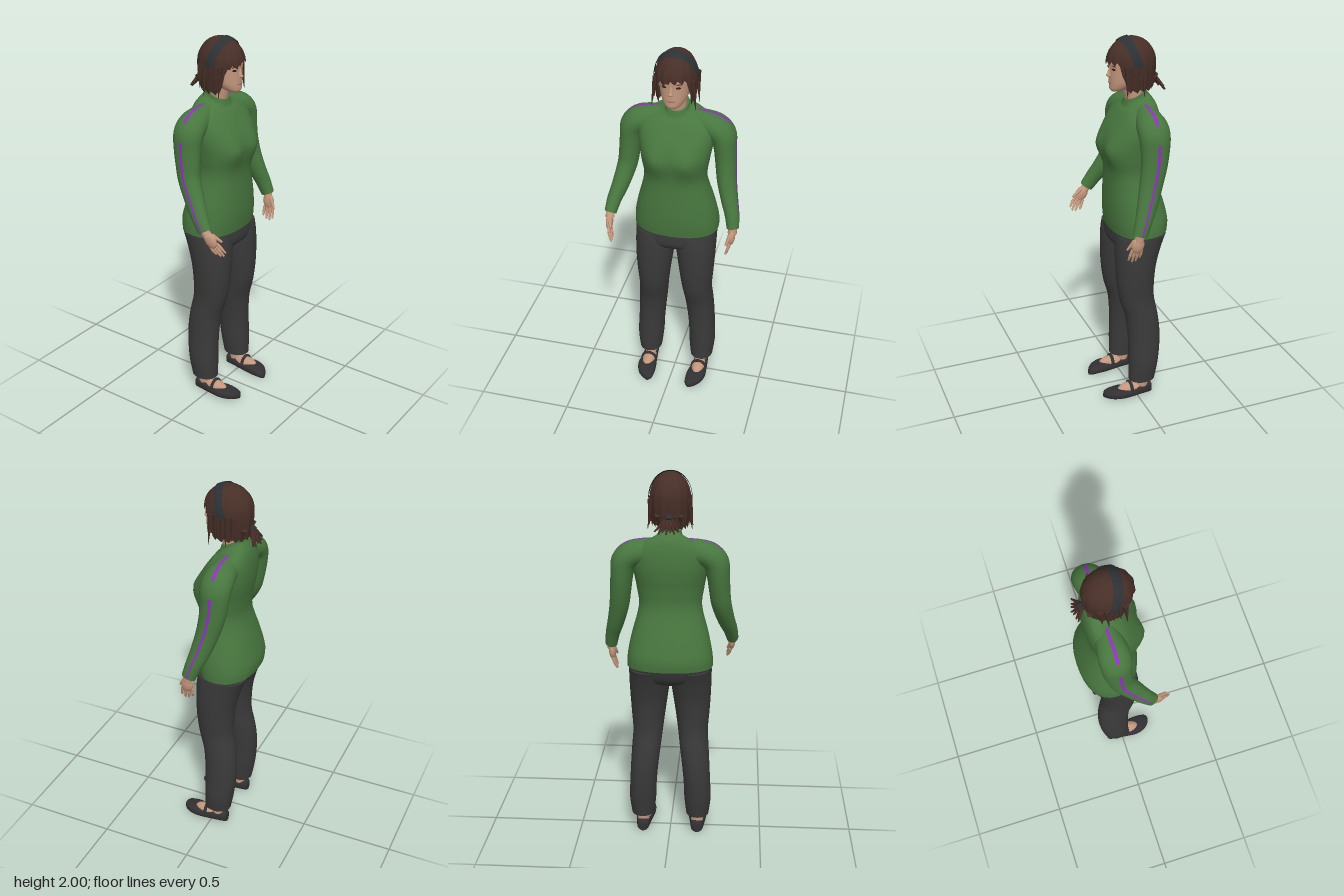
import * as THREE from 'three';

const mat = (name, color, double) => {
  const m = new THREE.MeshStandardMaterial({ color });
  m.name = name;
  if (double) m.side = THREE.DoubleSide;
  return m;
};

// Catmull-Rom interpolation of rows of numbers
function smooth(rows, steps = 4) {
  const out = [], last = rows.length - 1;
  for (let i = 0; i < last; i++) {
    const [a, b, c, d] = [rows[Math.max(i - 1, 0)], rows[i], rows[i + 1], rows[Math.min(i + 2, last)]];
    for (let s = 0; s < steps; s++) {
      const t = s / steps;
      out.push(b.map((v, k) => v + 0.5 * t * (c[k] - a[k] + t * (2 * a[k] - 5 * v + 4 * c[k] - d[k] + t * (3 * (v - c[k]) + d[k] - a[k])))));
    }
  }
  out.push(rows[last]);
  return out;
}

// Skin closed rings of points; quads chosen by isStripe go to material group 1
function loft(rings, { flip = false, caps = true, isStripe = null } = {}) {
  const n = rings[0].length, pos = rings.flat(2), main = [], stripe = [];
  const tri = (list, a, b, c) => (flip ? list.push(a, c, b) : list.push(a, b, c));
  for (let i = 0; i < rings.length - 1; i++) for (let j = 0; j < n; j++) {
    const k = (j + 1) % n, list = isStripe && isStripe(i, j) ? stripe : main;
    tri(list, i * n + j, (i + 1) * n + j, (i + 1) * n + k);
    tri(list, i * n + j, (i + 1) * n + k, i * n + k);
  }
  if (caps) [rings[0], rings[rings.length - 1]].forEach((r, e) => {
    const base = pos.length / 3, mid = [0, 1, 2].map(k => r.reduce((s, p) => s + p[k], 0) / n);
    pos.push(...r.flat(), ...mid);
    for (let j = 0; j < n; j++) {
      const k = (j + 1) % n;
      tri(main, base + n, base + (e ? k : j), base + (e ? j : k));
    }
  });
  const g = new THREE.BufferGeometry();
  g.setAttribute('position', new THREE.Float32BufferAttribute(pos, 3));
  g.setIndex([...main, ...stripe]);
  if (isStripe) { g.addGroup(0, main.length, 0); g.addGroup(main.length, stripe.length, 1); }
  g.computeVertexNormals();
  return g;
}

// Horizontal body section: y, centre x, half width, front z, back z, tilt
function section([y, cx, hw, zf, zb, tilt = 0], p = 2.2, n = 32) {
  return Array.from({ length: n }, (_, j) => {
    const a = j / n * Math.PI * 2, c = Math.cos(a), s = Math.sin(a);
    const x = cx + hw * Math.sign(c) * Math.abs(c) ** (2 / p);
    const z = (zf + zb) / 2 + (zf - zb) / 2 * Math.sign(s) * Math.abs(s) ** (2 / p);
    return [x, y - (z + 0.05) * tilt, z];
  });
}
const body = (rows, p) => loft(smooth(rows).map(r => section(r, p)));

export function createModel() {
  const model = new THREE.Group();
  const green = mat('sweater green', 0x48773f), purple = mat('stripe purple', 0x9030bd);
  const charcoal = mat('trouser charcoal', 0x3a3a3b), skin = mat('skin', 0xc4977d);
  const brown = mat('hair brown', 0x472f27, true), band = mat('headband grey', 0x2e3134, true);
  const black = mat('shoe black', 0x313133), dark = mat('eye dark', 0x2c1f1b), lip = mat('lips', 0xa8736a);
  const add = (name, geo, m, parent = model) => {
    const mesh = new THREE.Mesh(geo, m);
    mesh.name = name;
    parent.add(mesh);
    return mesh;
  };
  const ball = (name, m, p, s, parent) => {
    const b = add(name, new THREE.SphereGeometry(1, 20, 14), m, parent);
    b.position.set(...p);
    b.scale.set(...s);
    return b;
  };
  // Tapered piece between two points
  const spike = (name, m, a, b, r0, r1, parent, sides = 5) => {
    const A = new THREE.Vector3(...a), B = new THREE.Vector3(...b), d = B.clone().sub(A);
    const s = add(name, new THREE.CylinderGeometry(r1, r0, d.length(), sides), m, parent);
    s.position.copy(A).add(B).multiplyScalar(0.5);
    s.quaternion.setFromUnitVectors(new THREE.Vector3(0, 1, 0), d.normalize());
    return s;
  };

  // Sweater body, with a soft bust
  const torso = smooth([
    [0.985, 0, 0.226, 0.1, -0.2, 0.03], [1.05, 0, 0.223, 0.108, -0.203, 0], [1.15, 0, 0.203, 0.11, -0.178, 0],
    [1.3, 0, 0.165, 0.106, -0.135, 0], [1.4, 0, 0.175, 0.118, -0.14, 0], [1.46, 0, 0.185, 0.118, -0.15, 0],
    [1.53, 0, 0.195, 0.098, -0.158, 0], [1.6, 0, 0.19, 0.062, -0.155, 0.08], [1.645, 0, 0.145, 0.035, -0.143, 0.2],
    [1.668, 0, 0.09, 0.018, -0.125, 0.35], [1.685, 0, 0.064, 0.012, -0.112, 0.42], [1.705, 0, 0.058, 0.006, -0.104, 0.45],
  ]).map(r => section(r, 2.3).map(([x, y, z]) => {
    const d = ((Math.abs(x) - 0.085) / 0.06) ** 2 + ((y - 1.435) / 0.075) ** 2;
    return [x, y, z + (z > 0 ? 0.026 * Math.exp(-d) : 0)];
  }));
  add('sweaterBody', loft(torso), green);

  // Sleeves: x, y, z, radius across, radius in depth
  const shoulder = [
    [0.09, 1.603, -0.065, 0.068, 0.06], [0.15, 1.598, -0.063, 0.067, 0.072], [0.2, 1.583, -0.061, 0.068, 0.08],
    [0.235, 1.545, -0.06, 0.067, 0.08], [0.247, 1.48, -0.058, 0.059, 0.075], [0.255, 1.4, -0.05, 0.055, 0.068],
  ];
  const forearm = {
    1: [[0.267, 1.3, -0.028, 0.051, 0.06], [0.29, 1.2, 0.002, 0.044, 0.052], [0.31, 1.13, 0.028, 0.038, 0.044], [0.322, 1.06, 0.052, 0.032, 0.038]],
    [-1]: [[0.265, 1.32, -0.035, 0.052, 0.06], [0.29, 1.22, 0.018, 0.045, 0.052], [0.313, 1.15, 0.065, 0.038, 0.044], [0.325, 1.09, 0.105, 0.032, 0.038]],
  };
  for (const side of [1, -1]) {
    const name = side > 0 ? 'left' : 'right', n = 28;
    const rows = smooth([...shoulder, ...forearm[side]]);
    const pt = i => new THREE.Vector3(...rows[Math.min(Math.max(i, 0), rows.length - 1)].slice(0, 3));
    const rings = rows.map((r, i) => {
      const T = pt(i + 1).sub(pt(i - 1)).normalize();
      const B = new THREE.Vector3(0, 0, 1).addScaledVector(T, -T.z).normalize();
      const N = B.clone().cross(T);
      return Array.from({ length: n }, (_, j) => {
        const a = (j - 0.5) / n * Math.PI * 2;
        const p = pt(i).addScaledVector(N, r[3] * Math.cos(a)).addScaledVector(B, r[4] * Math.sin(a));
        return [side * p.x, p.y, p.z];
      });
    });
    const isStripe = (i, j) => j === 0 && (i < 10 || i > 13);
    add(name + 'Sleeve', loft(rings, { flip: side > 0, isStripe }), [green, purple]);

    // Hand: palm, four fingers and a thumb
    const hand = new THREE.Group();
    hand.name = name + 'Hand';
    const end = rows[rows.length - 1];
    hand.position.set(side * end[0], end[1], end[2]);
    hand.rotation.set(side > 0 ? -0.12 : -0.58, 0, side * -0.06);
    spike('wrist', skin, [0, 0.03, 0], [0, -0.03, 0.002], 0.022, 0.024, hand, 14);
    ball('palm', skin, [0, -0.05, 0.004], [0.018, 0.046, 0.034], hand);
    for (let f = 0; f < 4; f++) {
      const z = -0.02 + f * 0.016, len = [0.045, 0.06, 0.065, 0.055][f];
      const knuckle = [-side * 0.004, -0.078, z], mid = [-side * 0.009, -0.08 - len * 0.55, z * 1.2];
      spike('finger', skin, knuckle, mid, 0.0085, 0.008, hand, 8);
      spike('fingertip', skin, mid, [-side * 0.019, -0.08 - len * 1.15, z * 1.25], 0.008, 0.005, hand, 8);
    }
    spike('thumb', skin, [-side * 0.006, -0.03, 0.024], [-side * 0.02, -0.085, 0.05], 0.012, 0.006, hand, 8);
    model.add(hand);

    // Trouser leg
    add(name + 'TrouserLeg', body([
      [0.1, 0.151, 0.062, 0.04, -0.105], [0.2, 0.151, 0.073, 0.04, -0.123], [0.3, 0.147, 0.073, 0.04, -0.134],
      [0.4, 0.14, 0.075, 0.043, -0.136], [0.5, 0.131, 0.078, 0.055, -0.126], [0.6, 0.122, 0.081, 0.083, -0.108],
      [0.7, 0.119, 0.091, 0.096, -0.108], [0.8, 0.115, 0.101, 0.1, -0.12], [0.9, 0.11, 0.109, 0.099, -0.148], [0.97, 0.11, 0.108, 0.09, -0.175],
    ].map(r => [r[0], side * r[1], ...r.slice(2)]), 2.1), charcoal);

    // Foot and strap shoe: z, centre x, half width, height
    spike('ankle', skin, [side * 0.15, 0.03, -0.035], [side * 0.15, 0.16, -0.035], 0.033, 0.036, model, 16);
    ball('foot', skin, [side * 0.147, 0.04, 0.03], [0.037, 0.036, 0.08]);
    const shoe = smooth([
      [-0.09, 0.15, 0.014, 0.045], [-0.08, 0.15, 0.031, 0.062], [-0.03, 0.15, 0.039, 0.062], [0.03, 0.149, 0.046, 0.05],
      [0.09, 0.146, 0.053, 0.053], [0.14, 0.138, 0.045, 0.046], [0.17, 0.127, 0.028, 0.036], [0.182, 0.122, 0.008, 0.022],
    ]).map(([z, cx, hw, h]) => Array.from({ length: 24 }, (_, j) => {
      const a = j / 24 * Math.PI * 2, s = Math.sin(a);
      return [side * cx + hw * Math.cos(a), h / 2 + h / 2 * Math.sign(s) * Math.abs(s) ** 0.6, z];
    }));
    add(name + 'Shoe', loft(shoe, { flip: true }), black);
    const strap = add(name + 'ShoeStrap', new THREE.TorusGeometry(0.04, 0.006, 8, 20, Math.PI), black);
    strap.position.set(side * 0.148, 0.04, 0.035);
    strap.scale.z = 1.6;
  }

  // Trouser seat
  add('trouserSeat', body([
    [0.885, 0, 0.17, 0.075, -0.11], [0.91, 0, 0.212, 0.095, -0.148], [0.95, 0, 0.22, 0.1, -0.172], [1.02, 0, 0.215, 0.095, -0.192],
  ], 2.3), charcoal);

  // Neck, head and face
  add('neck', body([[1.62, 0, 0.05, -0.01, -0.1], [1.7, 0, 0.048, 0.006, -0.09], [1.78, 0, 0.05, 0.02, -0.09]], 2), skin);
  add('head', body([
    [1.73, 0, 0.022, 0.078, 0.02], [1.742, 0, 0.042, 0.087, -0.01], [1.77, 0, 0.063, 0.088, -0.065], [1.8, 0, 0.073, 0.088, -0.1],
    [1.84, 0, 0.079, 0.088, -0.12], [1.88, 0, 0.08, 0.09, -0.125], [1.93, 0, 0.074, 0.075, -0.12], [1.975, 0, 0.045, 0.04, -0.085],
  ], 2.1), skin);
  spike('nose', skin, [0, 1.812, 0.089], [0, 1.855, 0.084], 0.013, 0.006, model, 10);
  ball('noseTip', skin, [0, 1.815, 0.094], [0.011, 0.009, 0.011]);
  ball('lips', lip, [0, 1.775, 0.087], [0.02, 0.006, 0.005]);
  for (const s of [1, -1]) {
    ball('eye', dark, [s * 0.036, 1.848, 0.079], [0.012, 0.006, 0.005]).rotation.y = s * 0.35;
    ball('eyebrow', brown, [s * 0.037, 1.866, 0.079], [0.017, 0.003, 0.004]).rotation.y = s * 0.35;
    ball('ear', skin, [s * 0.082, 1.83, -0.02], [0.012, 0.03, 0.018]);
  }

  // Hair cap: a shell whose lower edge rises over the face
  const hairRings = [], cols = 56, layers = 14;
  for (let i = 0; i <= layers; i++) hairRings.push(Array.from({ length: cols }, (_, j) => {
    const a = j / cols * Math.PI * 2, off = Math.min(a, Math.PI * 2 - a);
    const right = a > Math.PI ? 0.012 : 0;
    const hem = 1.888 - right - 0.14 * THREE.MathUtils.smoothstep(off, 0.72, 1.2) - (j % 3) * 0.009;
    const v = i / layers, y = 2 - (2 - hem) * v ** 1.7;
    const k = y > 1.87 ? Math.sqrt(Math.max(0, 1 - ((y - 1.87) / 0.13) ** 2)) : 1 - 7 * (1.87 - y) ** 2;
    const r = k * (1 + 0.022 * Math.sin(a * 14) * v);
    return [0.104 * r * Math.sin(a), y, -0.027 + 0.127 * r * Math.cos(a)];
  }));
  const cap = loft(hairRings, { caps: false }).toNonIndexed();
  cap.computeVertexNormals();
  add('hairCap', cap, brown);

  // Loose locks beside the face and at the nape
  for (const s of [1, -1]) for (let i = 0; i < 5; i++) {
    const z = 0.035 - i * 0.03;
    spike('sideLock', brown, [s * 0.094, 1.87, z - 0.005], [s * (0.112 - 0.007 * (i % 3)), 1.715 + 0.018 * ((i * 2) % 3), z], 0.015, 0.001);
  }
  for (let i = -2; i <= 2; i++) spike('napeLock', brown, [i * 0.028, 1.8, -0.13], [i * 0.024, 1.71 + 0.008 * Math.abs(i), -0.105], 0.018, 0.002);
  // Ponytail with its tie
  spike('hairTie', band, [0, 1.795, -0.138], [0, 1.78, -0.162], 0.02, 0.018, model, 12);
  for (let i = -3; i <= 3; i++) spike('ponytailLock', brown, [i * 0.003, 1.785, -0.153], [0.01 + i * 0.02, 1.72 + 0.01 * Math.abs(i % 2), -0.202 + 0.006 * Math.abs(i)], 0.012, 0.004);

  // Headband: a ribbon following the hair from ear to ear
  const strip = new THREE.PlaneGeometry(1, 1, 40, 4), P = strip.attributes.position;
  for (let i = 0; i < P.count; i++) {
    const a = P.getX(i) * 3.2, w = P.getY(i);
    const z = 0.014 - 0.042 * (1 - Math.cos(a)) + w * 0.05;
    const s = Math.sqrt(1 - ((z + 0.027) / 0.132) ** 2);
    P.setXYZ(i, 0.111 * s * Math.sin(a), 1.87 + 0.135 * s * Math.cos(a), z);
  }
  strip.computeVertexNormals();
  add('headband', strip, band);

  return model;
}
